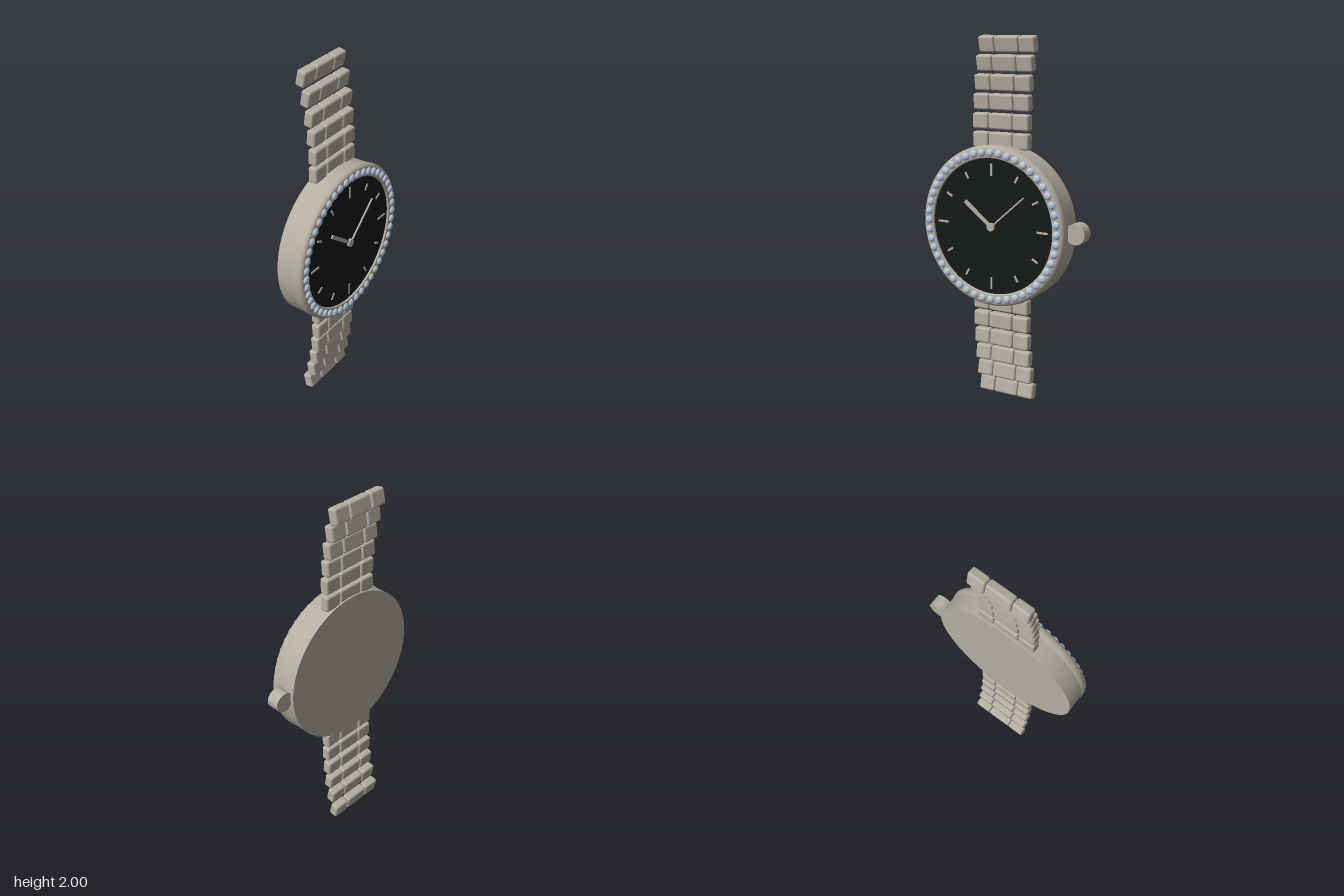
import * as THREE from 'three';
import { toCreasedNormals } from 'three/addons/utils/BufferGeometryUtils.js';
import { RoundedBoxGeometry } from 'three/addons/geometries/RoundedBoxGeometry.js';

const metal = new THREE.MeshStandardMaterial({ color: 0xb5afa3 });
const black = new THREE.MeshStandardMaterial({ color: 0x141b19 });
const crystal = new THREE.MeshStandardMaterial({ color: 0xb9c9de });

function add(parent, name, geometry, material, x = 0, y = 0, z = 0) {
  const mesh = new THREE.Mesh(geometry, material);
  mesh.name = name;
  mesh.position.set(x, y, z);
  parent.add(mesh);
  return mesh;
}

// Turned part whose axis points to the front
function turned(points) {
  const lathe = new THREE.LatheGeometry(points.map(p => new THREE.Vector2(...p)), 96);
  return toCreasedNormals(lathe.rotateX(Math.PI / 2), 0.6);
}

// Thin bar on the dial from radius r0 to r1, angle measured clockwise from twelve
function bar(parent, name, angle, r0, r1, width, z) {
  const geometry = new THREE.BoxGeometry(width, r1 - r0, 0.008).translate(0, (r0 + r1) / 2, 0);
  add(parent, name, geometry, metal, 0, 0, z).rotation.z = -angle;
}

export function createModel() {
  const model = new THREE.Group();
  model.name = 'wristwatch';

  // Everything is centred on the dial
  const watch = new THREE.Group();
  watch.name = 'watch';
  watch.position.set(-0.045, 1, 0);
  model.add(watch);

  // Case and bezel
  add(watch, 'case', turned([[0, -0.055], [0.43, -0.055], [0.43, 0.05], [0.36, 0.05]]), metal);
  add(watch, 'bezel', turned([
    [0.43, 0.048], [0.434, 0.058], [0.435, 0.07], [0.433, 0.085], [0.427, 0.095],
    [0.417, 0.1], [0.38, 0.1], [0.37, 0.097], [0.365, 0.08],
  ]), metal);

  // Dial
  add(watch, 'dial', turned([[0.368, 0.05], [0.368, 0.087], [0, 0.087]]), black);

  // Hour markers, longer at the quarters
  for (let i = 0; i < 12; i++) {
    const quarter = i % 3 === 0;
    bar(watch, 'hourMarker', i * Math.PI / 6, quarter ? 0.275 : 0.287, quarter ? 0.34 : 0.325, 0.011, 0.088);
  }

  // Hands and hub
  bar(watch, 'hourHand', Math.atan2(-0.164, 0.127), 0, 0.207, 0.02, 0.093);
  bar(watch, 'minuteHand', Math.atan2(0.2, 0.175), 0, 0.266, 0.008, 0.097);
  add(watch, 'handHub', turned([[0.022, 0.086], [0.022, 0.103], [0, 0.103]]), metal);

  // Ring of stones on the bezel
  const stone = new THREE.SphereGeometry(0.0215, 12, 8).scale(1, 1, 0.65);
  const stoneCount = 48;
  for (let i = 0; i < stoneCount; i++) {
    const a = i / stoneCount * Math.PI * 2;
    add(watch, 'stone', stone, crystal, 0.397 * Math.sin(a), 0.397 * Math.cos(a), 0.1);
  }

  // Crown
  const crown = new THREE.CylinderGeometry(0.055, 0.055, 0.07, 40).rotateX(Math.PI / 2);
  add(watch, 'crown', crown, metal, 0.468, 0, 0);

  // Bracelet: rows of three links, mirrored above and below the case
  const sideLink = new RoundedBoxGeometry(0.096, 0.086, 0.052, 3, 0.012);
  const middleLink = new RoundedBoxGeometry(0.145, 0.086, 0.052, 3, 0.012);
  const rows = [ // height from dial centre, depth, tilt
    [0.45, -0.021, 0], [0.55, -0.021, 0.02], [0.652, -0.028, 0.08],
    [0.753, -0.04, 0.13], [0.854, -0.058, 0.17], [0.953, -0.082, 0.21],
  ];
  for (const side of [1, -1]) {
    const strap = new THREE.Group();
    strap.name = side > 0 ? 'upperStrap' : 'lowerStrap';
    watch.add(strap);
    for (const [y, z, tilt] of rows) {
      const row = new THREE.Group();
      row.name = 'linkRow';
      row.position.set(0, side * y, z);
      row.rotation.x = side * tilt;
      strap.add(row);
      add(row, 'middleLink', middleLink, metal);
      for (const x of [-0.123, 0.123]) add(row, 'sideLink', sideLink, metal, x);
    }
  }
  return model;
}
